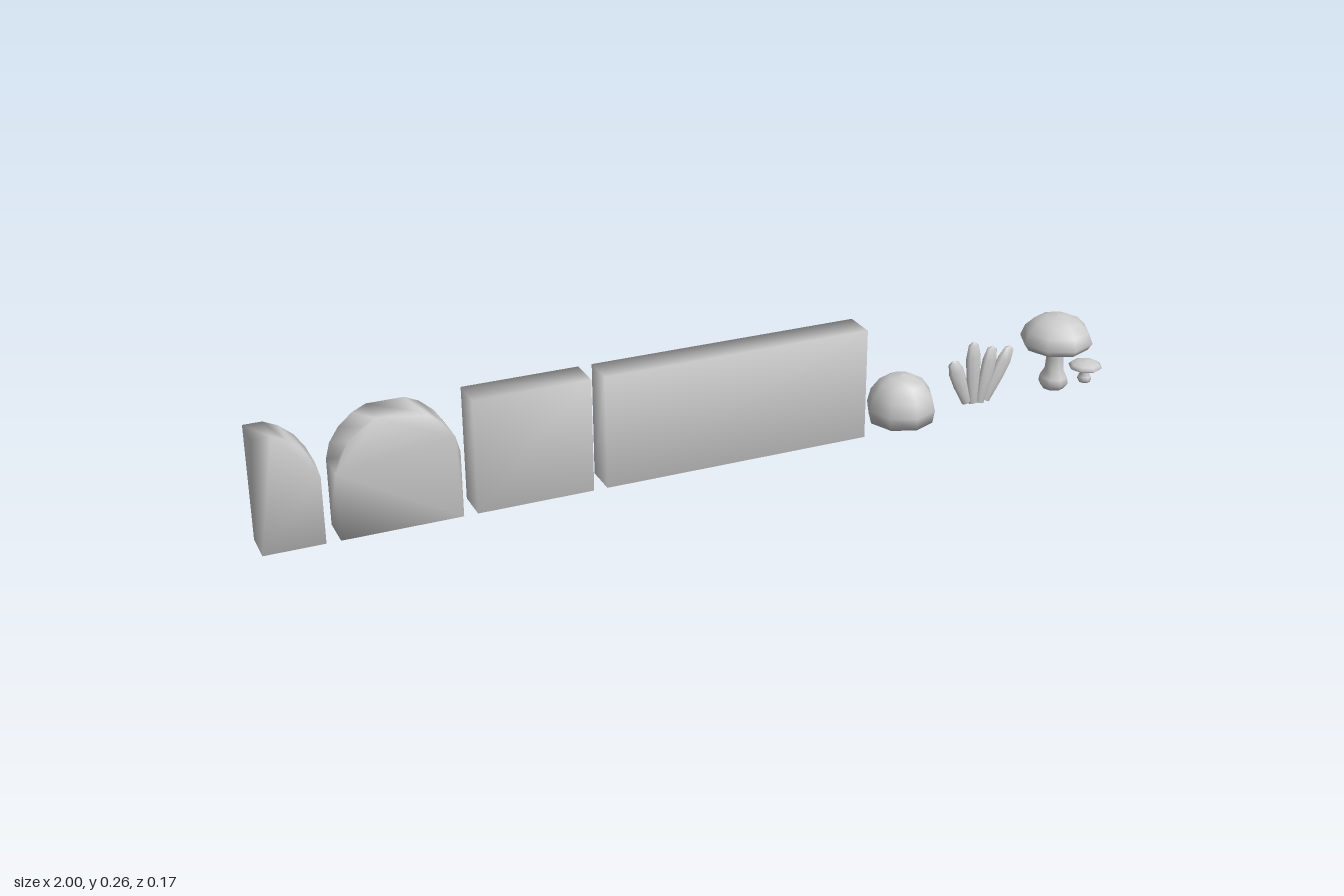
import * as THREE from 'three';
import { mergeVertices } from 'three/addons/utils/BufferGeometryUtils.js';

const material = new THREE.MeshStandardMaterial({ color: 0xcccccc, side: THREE.DoubleSide });
const HEIGHT = 0.257, DEPTH = 0.076;

function mesh(name, geometry, x = 0) {
  const m = new THREE.Mesh(geometry, material);
  m.name = name;
  m.position.x = x;
  return m;
}

// Upright slab from an outline, with normals shared across its edges
function slab(name, points) {
  const shape = new THREE.Shape(points.map(([x, y]) => new THREE.Vector2(x, y)));
  const extruded = new THREE.ExtrudeGeometry(shape, { depth: DEPTH, bevelEnabled: false });
  extruded.translate(0, 0, -DEPTH / 2);
  extruded.deleteAttribute('normal');
  extruded.deleteAttribute('uv');
  const geometry = mergeVertices(extruded);
  geometry.computeVertexNormals();
  return mesh(name, geometry);
}

const rectangle = (x0, x1) => [[x0, 0], [x1, 0], [x1, HEIGHT], [x0, HEIGHT]];

// Eight-sided turned form; profile is [radius, y] from bottom to top
function turned(name, profile, x) {
  const points = profile.map(([r, y]) => new THREE.Vector2(r, y));
  return mesh(name, new THREE.LatheGeometry(points, 8), x);
}

// Right half of the rounded slab outline, from bottom to top
const archSide = [[0.13, 0], [0.13, 0.15], [0.121, 0.185], [0.1, 0.217], [0.07, 0.243], [0.04, 0.257]];

// Flattened tapering prong from a base point to a tip point
function prong(x0, y0, x1, y1) {
  const length = Math.hypot(x1 - x0, y1 - y0);
  const profile = [[0, 0], [0.011, 0], [0.018, length * 0.45], [0.019, length * 0.75], [0.013, length * 0.94], [0, length]];
  const m = turned('prong', profile, x0);
  m.scale.z = 0.55;
  m.position.y = y0;
  m.rotation.z = -Math.atan2(x1 - x0, y1 - y0);
  return m;
}

export function createModel() {
  const model = new THREE.Group();
  model.name = 'stoneAndPlantSet';

  // Row of slabs
  const arch = [...archSide, ...archSide.map(([x, y]) => [-x, y]).reverse()];
  model.add(
    slab('halfArchSlab', [[-1, 0], ...archSide.map(([x, y]) => [x - 1, y]), [-1, HEIGHT]]),
    slab('archSlab', arch.map(([x, y]) => [x - 0.71, y])),
    slab('squareSlab', rectangle(-0.55, -0.292)),
    slab('longSlab', rectangle(-0.262, 0.355)),
  );

  // Boulder
  model.add(turned('boulder', [
    [0, 0.01], [0.075, 0.01], [0.08, 0.04], [0.072, 0.072], [0.052, 0.1], [0.028, 0.113], [0, 0.118],
  ], 0.467));

  // Fan of prongs
  const cluster = new THREE.Group();
  cluster.name = 'prongCluster';
  for (const p of [
    [0.64, 0.016, 0.597, 0.127], [0.657, 0.012, 0.65, 0.166],
    [0.675, 0.01, 0.702, 0.148], [0.69, 0.013, 0.75, 0.14],
  ]) cluster.add(prong(...p));
  model.add(cluster);

  // Large mushroom
  const large = new THREE.Group();
  large.name = 'largeMushroom';
  large.add(
    turned('cap', [
      [0.018, 0.135], [0.05, 0.132], [0.074, 0.118], [0.085, 0.134], [0.075, 0.16],
      [0.054, 0.181], [0.028, 0.192], [0, 0.195],
    ]),
    turned('stem', [
      [0, 0.012], [0.025, 0.013], [0.035, 0.027], [0.032, 0.042], [0.022, 0.06], [0.02, 0.09], [0.021, 0.14],
    ]),
  );
  large.position.x = 0.873;

  // Small mushroom
  const small = new THREE.Group();
  small.name = 'smallMushroom';
  small.add(
    turned('cap', [
      [0.01, 0.052], [0.025, 0.051], [0.034, 0.046], [0.04, 0.051], [0.033, 0.058], [0.018, 0.064], [0, 0.066],
    ]),
    turned('stem', [[0, 0.011], [0.013, 0.012], [0.017, 0.018], [0.015, 0.026], [0.01, 0.034], [0.01, 0.054]]),
  );
  small.position.x = 0.96;

  model.add(large, small);
  return model;
}
